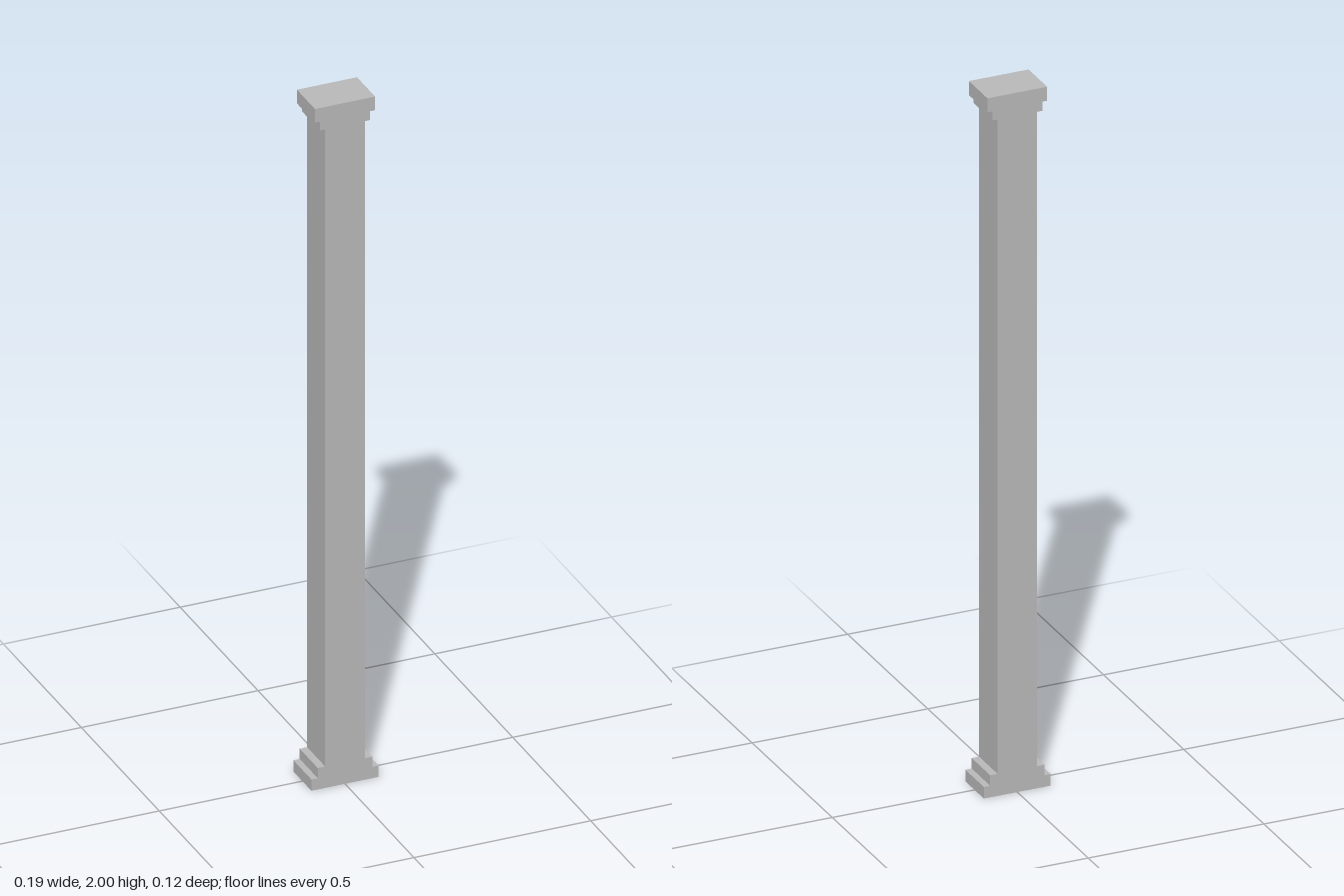
import * as THREE from 'three';

export function createModel() {
  const group = new THREE.Group();
  group.name = 'pilaster';
  const stone = new THREE.MeshStandardMaterial({ color: 0xbababa });
  stone.name = 'grey stone';
  const depth = 0.116;

  // Right half of the stepped outline, bottom to top: base, shaft, capital
  const half = [
    [0.095, 0], [0.095, 0.033], [0.077, 0.033], [0.077, 0.063],
    [0.056, 0.063], [0.056, 1.934],
    [0.071, 1.934], [0.071, 1.96], [0.085, 1.96], [0.085, 2],
  ];
  const mirrored = half.map(([x, y]) => [-x, y]).reverse();
  const outline = new THREE.Shape([...half, ...mirrored].map(([x, y]) => new THREE.Vector2(x, y)));

  const geometry = new THREE.ExtrudeGeometry(outline, { depth, bevelEnabled: false });
  geometry.translate(0, 0, -depth / 2);
  const column = new THREE.Mesh(geometry, stone);
  column.name = 'columnWithBaseAndCapital';
  group.add(column);
  return group;
}
